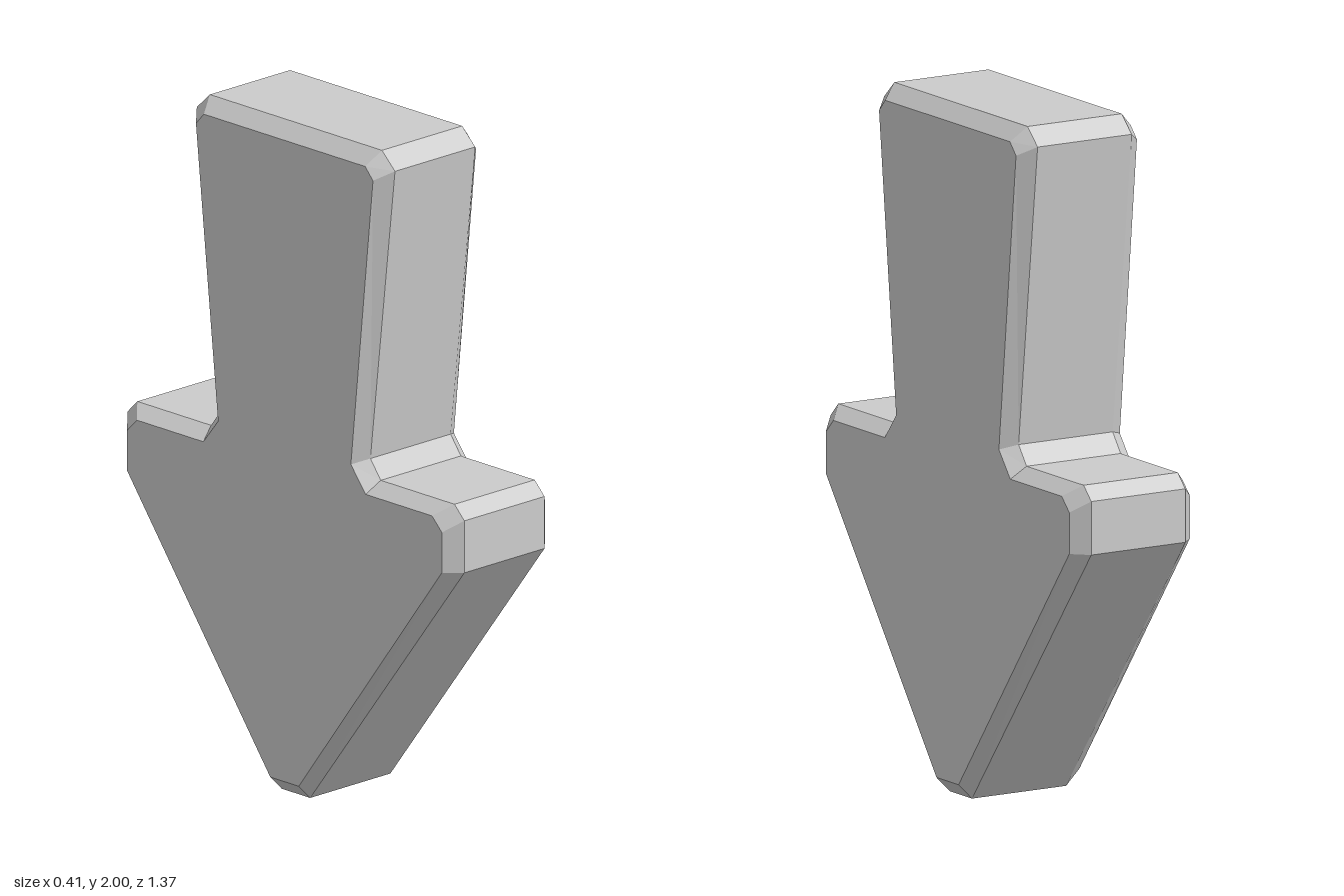
import * as THREE from 'three';

// Half outlines as [z, y], from the tip upwards
const rim = [[0.058, 0], [0.685, 0.82], [0.685, 0.975], [0.645, 1.015], [0.345, 1.015], [0.303, 1.07], [0.403, 1.95], [0.35, 2]];
const face = [[0.058, 0.045], [0.64, 0.82], [0.64, 0.94], [0.6, 0.98], [0.33, 0.98], [0.27, 1.055], [0.36, 1.922], [0.328, 1.957]];
const HALF_WIDTH = 0.203, RIM_WIDTH = 0.158;

// Complete the symmetric outline, counter-clockwise
const mirror = half => [...half, ...half.map(([z, y]) => [-z, y]).reverse()];

// Surface joining a row of matching outlines placed at given depths
function loft(rings) {
  const pos = [], n = rings[0].pts.length;
  const at = (k, i) => [...rings[k].pts[i % n], rings[k].depth];
  for (let k = 0; k < rings.length - 1; k++) {
    for (let i = 0; i < n; i++) {
      const a = at(k, i), b = at(k, i + 1), c = at(k + 1, i + 1), d = at(k + 1, i);
      pos.push(...a, ...b, ...c, ...a, ...c, ...d);
    }
  }
  const g = new THREE.BufferGeometry();
  g.setAttribute('position', new THREE.Float32BufferAttribute(pos, 3));
  g.computeVertexNormals();
  return g;
}

export function createModel() {
  const group = new THREE.Group();
  group.name = 'downArrow';
  const material = new THREE.MeshStandardMaterial({ color: 0xcccccc, flatShading: true });
  const outer = mirror(rim), inner = mirror(face);
  const add = (name, geometry) => {
    const mesh = new THREE.Mesh(geometry, material);
    mesh.name = name;
    group.add(mesh);
  };

  // Edge band with a bevel on both sides
  add('bevelledEdge', loft([
    { pts: inner, depth: -HALF_WIDTH },
    { pts: outer, depth: -RIM_WIDTH },
    { pts: outer, depth: RIM_WIDTH },
    { pts: inner, depth: HALF_WIDTH },
  ]).rotateY(Math.PI / 2));

  // Flat arrow faces
  const shape = new THREE.Shape(inner.map(([z, y]) => new THREE.Vector2(z, y)));
  for (const [name, side] of [['leftFace', 1], ['rightFace', -1]]) {
    add(name, new THREE.ShapeGeometry(shape).translate(0, 0, HALF_WIDTH).rotateY(side * Math.PI / 2));
  }
  return group;
}
